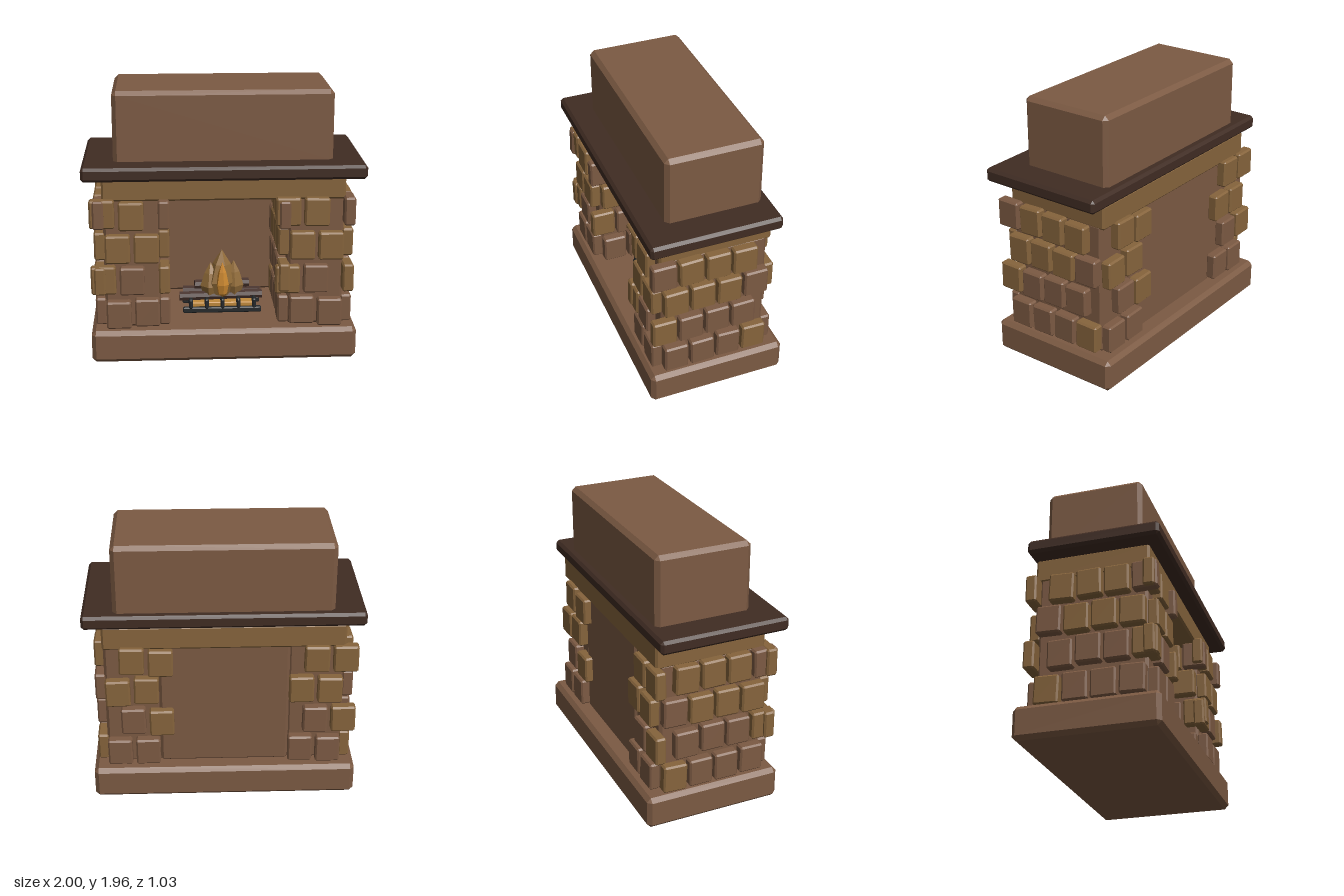
import * as THREE from 'three';
import { ConvexGeometry } from 'three/addons/geometries/ConvexGeometry.js';

const mat = (color) => new THREE.MeshStandardMaterial({ color, flatShading: true });

// Box with chamfered edges, centred on the origin
function chamferBox(w, h, d, c) {
  const points = [];
  for (const sx of [-1, 1]) for (const sy of [-1, 1]) for (const sz of [-1, 1]) {
    const [x, y, z] = [w / 2, h / 2, d / 2];
    points.push(
      new THREE.Vector3(sx * x, sy * (y - c), sz * (z - c)),
      new THREE.Vector3(sx * (x - c), sy * y, sz * (z - c)),
      new THREE.Vector3(sx * (x - c), sy * (y - c), sz * z));
  }
  return new ConvexGeometry(points);
}

// Seeded generator for small irregularities, in -1..1
function makeJitter(seed) {
  return () => {
    seed = (seed * 16807) % 2147483647;
    return (seed / 2147483647) * 2 - 1;
  };
}

export function createModel() {
  const model = new THREE.Group();
  model.name = 'fireplace';
  const brown = mat(0x7c5a43), ochre = mat(0x86643c), darkWood = mat(0x402c23);
  const bark = mat(0x45302a), iron = mat(0x25292b), ember = mat(0xc08a3c);
  const flameOuter = mat(0x8f6a38), flameInner = mat(0xcb8830);
  const jitter = makeJitter(4211);

  function add(parent, name, geometry, material, x, y, z) {
    const mesh = new THREE.Mesh(geometry, material);
    mesh.name = name;
    mesh.position.set(x, y, z);
    parent.add(mesh);
    return mesh;
  }

  // Chamfered block given by its limits on each axis
  function block(parent, name, material, [x0, x1], [y0, y1], [z0, z1], c) {
    return add(parent, name, chamferBox(x1 - x0, y1 - y0, z1 - z0, c), material,
      (x0 + x1) / 2, (y0 + y1) / 2, (z0 + z1) / 2);
  }

  // Main masonry
  block(model, 'hearthBase', brown, [-0.96, 0.96], [0, 0.24], [-0.52, 0.5], 0.03);
  block(model, 'backWall', brown, [-0.47, 0.47], [0.235, 1.215], [-0.4, -0.33], 0.02);
  block(model, 'frieze', ochre, [-0.865, 0.865], [1.19, 1.37], [-0.42, 0.405], 0.015);
  block(model, 'mantel', darkWood, [-1, 1], [1.36, 1.46], [-0.44, 0.51], 0.02);
  block(model, 'chimneyBreast', brown, [-0.78, 0.78], [1.43, 1.96], [-0.38, 0.325], 0.03);

  // Pillars clad in staggered stones
  const rowY = [0.357, 0.608, 0.856, 1.1];
  const sideColours = ['bbbo', 'obbb', 'ooob', 'booo'];
  const faceColours = ['bb', 'ob', 'oo', 'oo'];
  const stoneGeometry = chamferBox(0.178, 0.205, 0.08, 0.012);
  for (const side of [-1, 1]) {
    const pillar = new THREE.Group();
    pillar.name = side < 0 ? 'rightPillar' : 'leftPillar';
    pillar.position.x = side * 0.66;
    model.add(pillar);
    block(pillar, 'pillarCore', brown, [-0.2, 0.2], [0.235, 1.215], [-0.39, 0.39], 0.02);

    const stone = (code, x, y, z, turn) => {
      const mesh = add(pillar, 'stone', stoneGeometry, code === 'o' ? ochre : brown,
        x, y + jitter() * 0.013, z);
      mesh.rotation.set(jitter() * 0.015, turn + jitter() * 0.015, jitter() * 0.02);
    };
    rowY.forEach((y, row) => {
      const shifted = row % 2 === 1;
      for (const face of [-1, 1]) {
        for (let i = 0; i < 2; i++) {
          const x = (shifted ? -0.205 : -0.1) + i * 0.205;
          stone(faceColours[row][i], x, y, face * 0.42, face > 0 ? 0 : Math.PI);
        }
        for (let i = 0; i < 4; i++) {
          const z = (shifted ? 0.385 : 0.297) - i * 0.198;
          stone(sideColours[row][i], face * 0.23, y, z, face * Math.PI / 2);
        }
      }
    });
  }

  // Fire grate with rails, cross bars and embers
  const fire = new THREE.Group();
  fire.name = 'fire';
  fire.position.z = 0.07;
  model.add(fire);
  for (const z of [-0.1, 0.1]) {
    block(fire, 'grateRail', iron, [-0.295, 0.29], [0.25, 0.292], [z - 0.02, z + 0.02], 0.008);
  }
  for (let i = -2; i <= 2; i++) {
    const x = i * 0.118;
    block(fire, 'grateBar', iron, [x - 0.015, x + 0.015], [0.285, 0.36], [-0.13, 0.13], 0.01);
  }
  block(fire, 'emberBed', ember, [-0.235, 0.235], [0.295, 0.33], [-0.11, 0.11], 0.006);

  // Logs
  const log = (length, x, y, z, turn) => {
    const geometry = new THREE.CylinderGeometry(0.036, 0.036, length, 8).rotateZ(Math.PI / 2);
    add(fire, 'log', geometry, bark, x, y, z).rotation.y = turn;
  };
  log(0.62, -0.01, 0.36, 0.03, 0.05);
  log(0.58, 0, 0.36, -0.06, -0.06);
  log(0.41, 0, 0.43, -0.03, 0.08);

  // Faceted flames
  const flame = (material, r, h, x, y, z, turn) => {
    const profile = [[0, 0], [0.7, 0.12], [1, 0.38], [0.6, 0.72], [0, 1]]
      .map(([a, b]) => new THREE.Vector2(a * r, b * h));
    add(fire, 'flame', new THREE.LatheGeometry(profile, 6), material, x, y, z).rotation.y = turn;
  };
  flame(flameOuter, 0.115, 0.39, 0, 0.32, 0, 0.3);
  flame(flameOuter, 0.08, 0.29, -0.085, 0.325, 0.01, 0.8);
  flame(flameOuter, 0.08, 0.3, 0.088, 0.325, 0.0, 0.1);
  flame(flameOuter, 0.07, 0.27, 0.01, 0.33, -0.07, 0.5);
  flame(flameInner, 0.05, 0.28, 0, 0.36, 0.085, 0.2);

  return model;
}
